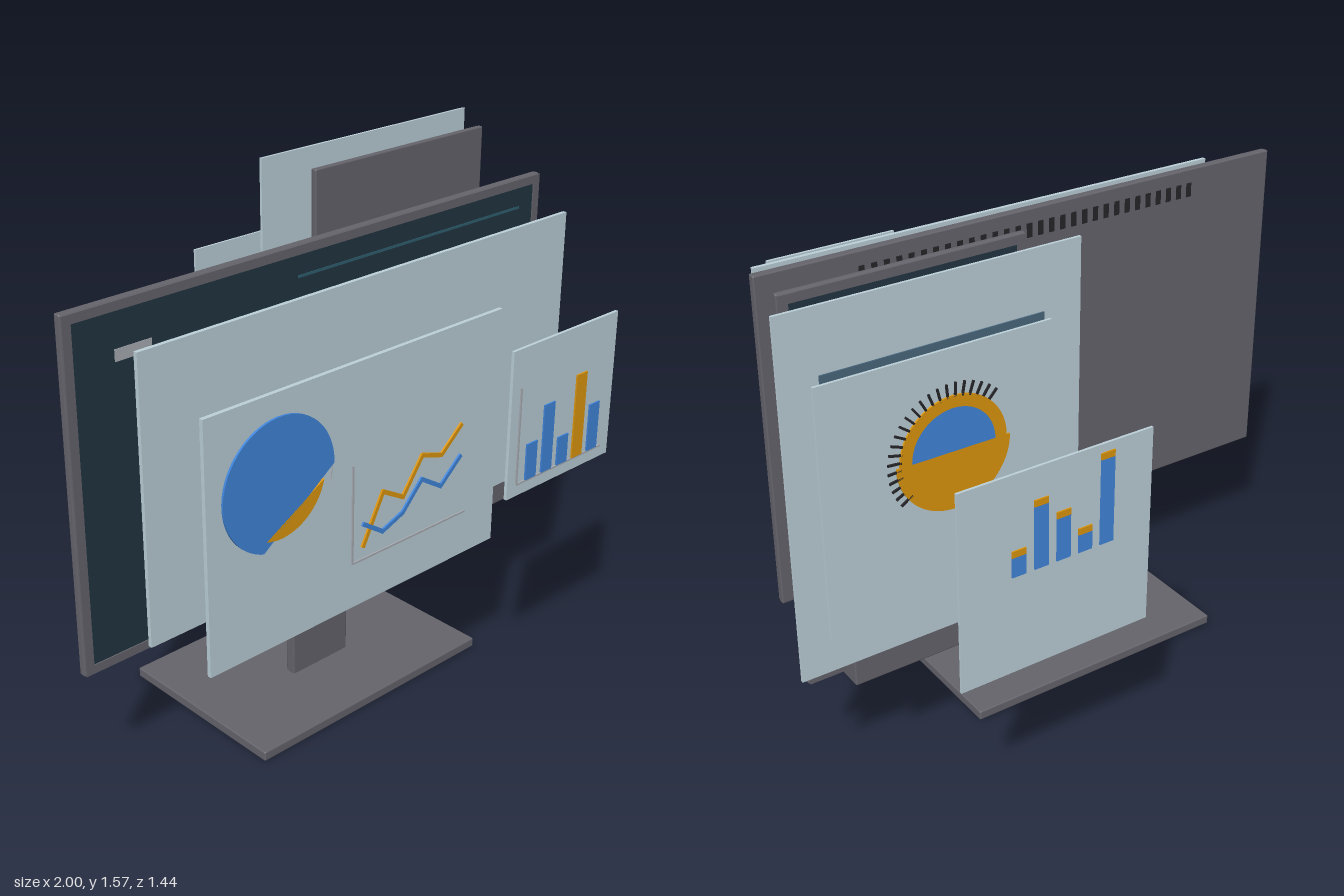
import * as THREE from 'three';
import { RoundedBoxGeometry } from 'three/addons/geometries/RoundedBoxGeometry.js';

const mat = (color) => new THREE.MeshStandardMaterial({ color });
const M = {
  body: mat(0x65646c), dark: mat(0x223542), glass: mat(0xbdd1d9), blue: mat(0x4186dc),
  orange: mat(0xdf980f), grey: mat(0xa9adb4), label: mat(0xb4b4b8), slate: mat(0x4a687f),
  slot: mat(0x26262a), teal: mat(0x2f5f70),
};

// Box given by its limits on each axis; r rounds the edges
function box(parent, name, m, x0, x1, y0, y1, z0, z1, r = 0) {
  const s = [x1 - x0, y1 - y0, z1 - z0];
  const geo = r ? new RoundedBoxGeometry(...s, 2, r) : new THREE.BoxGeometry(...s);
  const mesh = new THREE.Mesh(geo, m);
  mesh.position.set((x0 + x1) / 2, (y0 + y1) / 2, (z0 + z1) / 2);
  mesh.name = name;
  parent.add(mesh);
  return mesh;
}

function extrude(parent, name, m, shape, depth, x, y, z) {
  const geo = new THREE.ExtrudeGeometry(shape, { depth, bevelEnabled: false, curveSegments: 32 });
  const mesh = new THREE.Mesh(geo, m);
  mesh.position.set(x, y, z);
  mesh.name = name;
  parent.add(mesh);
  return mesh;
}

// Pie slice between two angles in degrees, with an optional inner radius
function slice(a0, a1, r, inner = 0) {
  const a = THREE.MathUtils.degToRad(a0), b = THREE.MathUtils.degToRad(a1);
  const s = new THREE.Shape();
  if (!inner) s.moveTo(0, 0);
  s.absarc(0, 0, r, a, b, false);
  if (inner) s.absarc(0, 0, inner, b, a, true);
  s.closePath();
  return s;
}

function rectPath(path, w, h) {
  path.moveTo(-w / 2, -h / 2).lineTo(w / 2, -h / 2).lineTo(w / 2, h / 2).lineTo(-w / 2, h / 2);
  path.closePath();
  return path;
}

// Display facing +z (dir 1) or -z (dir -1): housing, raised bezel and dark screen
function display(parent, name, x0, x1, y0, y1, zBack, zFront, dir) {
  const g = new THREE.Group();
  g.name = name;
  parent.add(g);
  const lip = zFront - dir * 0.006, b = 0.03;
  box(g, 'housing', M.body, x0, x1, y0, y1, Math.min(zBack, lip), Math.max(zBack, lip), 0.005);
  const ring = rectPath(new THREE.Shape(), x1 - x0 - 0.006, y1 - y0 - 0.006);
  ring.holes.push(rectPath(new THREE.Path(), x1 - x0 - 2 * b, y1 - y0 - 2 * b));
  extrude(g, 'bezel', M.body, ring, 0.008, (x0 + x1) / 2, (y0 + y1) / 2, Math.min(zFront, zFront - dir * 0.008));
  const s = lip + dir * 0.002;
  box(g, 'screen', M.dark, x0 + b, x1 - b, y0 + b, y1 - b, Math.min(lip - dir * 0.002, s), Math.max(lip - dir * 0.002, s));
  return g;
}

// Chart line made of short straight strokes
function polyline(parent, name, m, pts, z, w = 0.013) {
  for (let i = 0; i < pts.length - 1; i++) {
    const [ax, ay] = pts[i], [bx, by] = pts[i + 1];
    const len = Math.hypot(bx - ax, by - ay) + w * 0.6;
    const mesh = new THREE.Mesh(new THREE.BoxGeometry(len, w, 0.006), m);
    mesh.position.set((ax + bx) / 2, (ay + by) / 2, z);
    mesh.rotation.z = Math.atan2(by - ay, bx - ax);
    mesh.name = name;
    parent.add(mesh);
  }
}

function axes(parent, x, y, w, h, z) {
  box(parent, 'chartAxis', M.grey, x, x + w, y - 0.003, y + 0.003, z, z + 0.004);
  box(parent, 'chartAxis', M.grey, x - 0.003, x + 0.003, y, y + h, z, z + 0.004);
}

function buildFrontDisplay(g) {
  const d = display(g, 'frontDisplay', -1, 0.84, 0.41, 1.48, 0.122, 0.152, 1);
  box(d, 'screenTitle', M.grey, -0.84, -0.72, 1.31, 1.345, 0.147, 0.15);
  for (let i = 0; i < 6; i++) {
    const y = 0.56 + i * 0.165;
    box(d, 'screenLine', M.teal, -0.2, 0.745, y - 0.004, y + 0.004, 0.147, 0.15);
  }
  // Vent slots and plate on the back
  for (let i = 0; i < 30; i++) {
    const x = -0.67 + i * 0.0407;
    box(d, 'ventSlot', M.slot, x - 0.009, x + 0.009, 1.39, 1.435, 0.119, 0.124);
  }
  box(d, 'backPlate', M.label, -0.195, 0.035, 0.92, 0.98, 0.118, 0.124);
  // Stand
  box(g, 'standNeck', M.body, -0.195, 0.035, 0.03, 0.415, 0.08, 0.115, 0.004);
  box(g, 'standBase', M.body, -0.535, 0.38, 0.005, 0.037, -0.25, 0.362, 0.005);
}

function buildBackDisplay(g) {
  display(g, 'backDisplay', 0.158, 0.915, 0.335, 1.557, -0.163, -0.187, -1);
  box(g, 'backStand', M.body, 0.272, 0.797, 0.32, 0.415, -0.248, 0.13, 0.005);
}

function buildFrontPanels(g) {
  box(g, 'largeFrontPanel', M.glass, -0.907, 0.75, 0.557, 1.412, 0.323, 0.336);

  // Panel with pie and line charts
  box(g, 'middleFrontPanel', M.glass, -0.862, 0.24, 0.535, 1.282, 0.516, 0.529);
  const pie = (n, m, a, b, r, depth) => extrude(g, n, m, slice(a, b, r), depth, -0.618, 1.022, 0.529);
  pie('pieLargeSlice', M.blue, 0, 252, 0.193, 0.007);
  pie('pieMediumSlice', M.orange, 252, 347, 0.16, 0.007);
  pie('pieSmallSlice', M.grey, 343, 360, 0.19, 0.004);
  axes(g, -0.35, 0.678, 0.46, 0.305, 0.529);
  polyline(g, 'orangeTrend', M.orange, [[-0.31, 0.72], [-0.235, 0.865], [-0.155, 0.82], [-0.08, 0.925], [0, 0.9], [0.08, 0.97]], 0.532);
  polyline(g, 'blueTrend', M.blue, [[-0.31, 0.79], [-0.235, 0.74], [-0.155, 0.77], [-0.08, 0.85], [0, 0.8], [0.08, 0.87]], 0.5325);

  // Panel with bar chart
  box(g, 'smallFrontPanel', M.glass, 0.078, 0.534, 0.795, 1.25, 0.705, 0.715);
  axes(g, 0.115, 0.833, 0.38, 0.3, 0.715);
  [0.948, 1.048, 0.925, 1.1, 0.985].forEach((top, i) => {
    const x = 0.174 + i * 0.0695;
    box(g, 'frontBar', i === 3 ? M.orange : M.blue, x - 0.023, x + 0.023, 0.835, top, 0.715, 0.72);
  });
}

function buildBackPanels(g) {
  // Panel with list rows
  box(g, 'largeBackPanel', M.glass, 0.078, 1, 0.475, 1.575, -0.331, -0.322);
  [1.335, 1.14, 0.95, 0.752].forEach((y) => {
    box(g, 'listRow', M.slate, 0.2, 0.885, y - 0.05, y + 0.05, -0.335, -0.331);
    box(g, 'listRowLine', M.blue, 0.245, 0.53, y - 0.008, y + 0.008, -0.338, -0.335);
  });

  // Panel with round gauge and tick marks
  box(g, 'middleBackPanel', M.glass, 0.31, 0.997, 0.735, 1.465, -0.526, -0.518);
  const cx = 0.615, cy = 1.175;
  extrude(g, 'gaugeRing', M.orange, slice(0, 180, 0.16, 0.125), 0.005, cx, cy, -0.531);
  extrude(g, 'gaugeUpper', M.blue, slice(0, 180, 0.125), 0.005, cx, cy, -0.531);
  extrude(g, 'gaugeLower', M.orange, slice(180, 360, 0.17), 0.005, cx, cy, -0.531);
  for (let i = 0; i < 22; i++) {
    const a = THREE.MathUtils.degToRad(-35 + i * 8);
    const t = box(g, 'gaugeTick', M.slot, -0.02, 0.02, -0.003, 0.003, -0.531, -0.526);
    t.position.x = cx + Math.cos(a) * 0.175;
    t.position.y = cy + Math.sin(a) * 0.175;
    t.rotation.z = a;
  }

  // Panel with capped bars
  box(g, 'smallBackPanel', M.glass, 0.115, 0.725, 0.565, 1.175, -0.716, -0.708);
  [0.95, 1.08, 1.02, 0.945, 1.15].forEach((top, i) => {
    const x = 0.543 - i * 0.07;
    box(g, 'backBar', M.blue, x - 0.022, x + 0.022, 0.87, top - 0.02, -0.72, -0.716);
    box(g, 'backBarCap', M.orange, x - 0.022, x + 0.022, top - 0.02, top, -0.72, -0.716);
  });
}

export function createModel() {
  const g = new THREE.Group();
  g.name = 'displayStation';
  buildFrontDisplay(g);
  buildBackDisplay(g);
  buildFrontPanels(g);
  buildBackPanels(g);
  return g;
}
